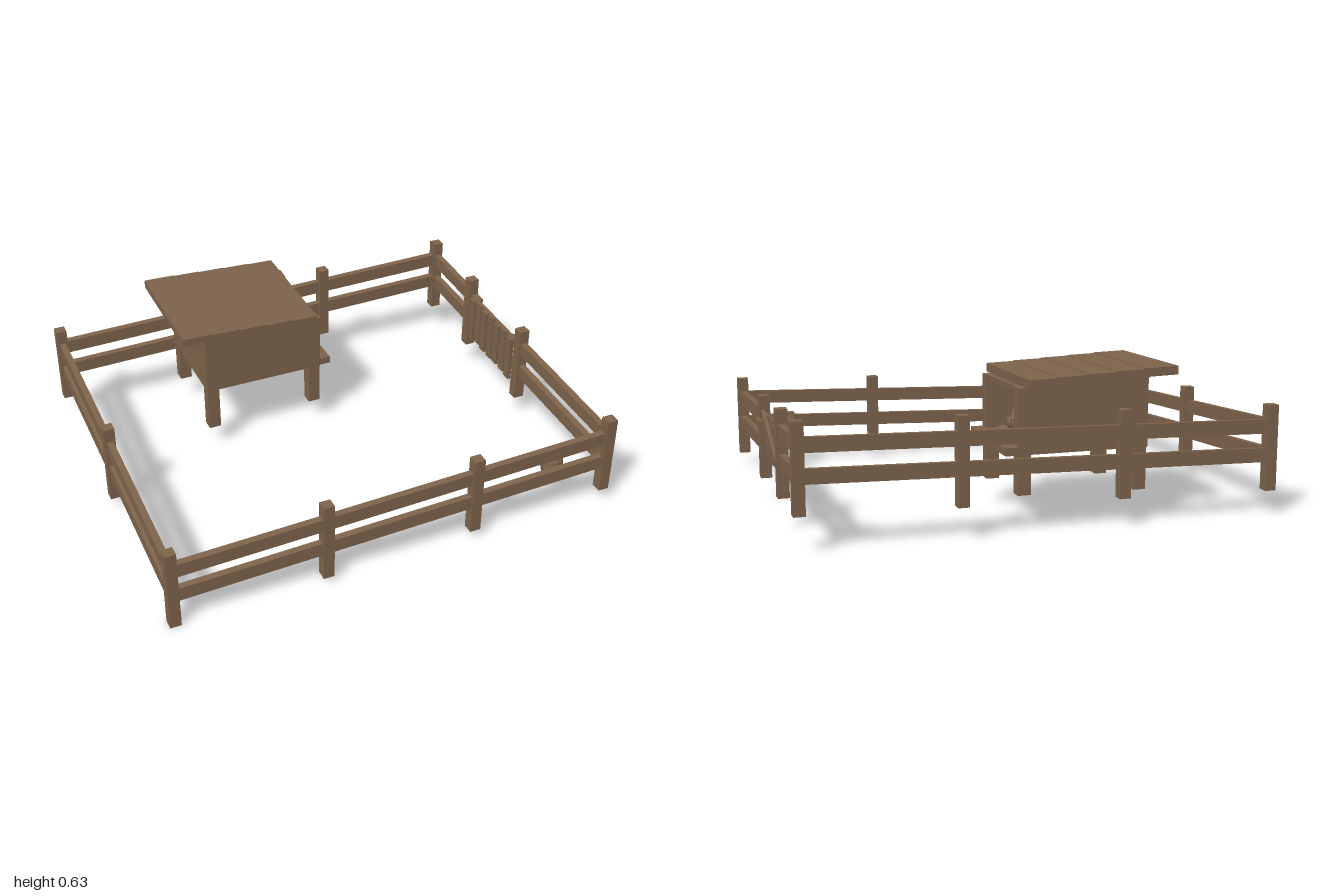
import * as THREE from 'three';

const wood = new THREE.MeshStandardMaterial({ color: 0x7d634b });
wood.name = 'brown wood';
wood.flatShading = true;

// Sloping ground: height under a point of the yard
function ground(x, z) {
  const u = (x + 0.975) / 1.94, v = (0.778 - z) / 1.562;
  return 0.06 * u + v * (0.1 - 0.015 * u);
}

function add(parent, name, geometry, x = 0, y = 0, z = 0) {
  const mesh = new THREE.Mesh(geometry, wood);
  mesh.name = name;
  mesh.position.set(x, y, z);
  parent.add(mesh);
  return mesh;
}

// Box with upright sides whose bottom and top follow height rules
function block(parent, name, [x0, x1], [z0, z1], bottom, top) {
  const geo = new THREE.BoxGeometry(x1 - x0, 1, z1 - z0);
  geo.translate((x0 + x1) / 2, 0, (z0 + z1) / 2);
  const p = geo.attributes.position;
  for (let i = 0; i < p.count; i++) {
    p.setY(i, (p.getY(i) > 0 ? top : bottom)(p.getX(i), p.getZ(i)));
  }
  geo.computeVertexNormals();
  return add(parent, name, geo);
}

const above = (h) => (x, z) => ground(x, z) + h;
const around = (c, w) => [c - w / 2, c + w / 2];

function buildFence() {
  const fence = new THREE.Group();
  fence.name = 'fence';
  const L = -0.975, R = 0.964, F = 0.778, B = -0.784;
  const posts = [[L, -0.02], [R, 0.062], [R, -0.412]];
  for (const x of [L, -0.33, 0.335, R]) posts.push([x, F], [x, B]);
  for (const [x, z] of posts) {
    const base = ground(x, z);
    block(fence, 'fencePost', around(x, 0.047), around(z, 0.047), () => base, () => base + 0.357);
  }
  // Two rails on every side, open at the gate
  for (const h of [0.118, 0.237]) {
    const lo = above(h), hi = above(h + 0.059);
    for (const z of [F, B]) block(fence, 'fenceRail', [L, R], around(z, 0.028), lo, hi);
    block(fence, 'fenceRail', around(L, 0.028), [B, F], lo, hi);
    block(fence, 'fenceRail', around(R, 0.028), [0.062, F], lo, hi);
    block(fence, 'fenceRail', around(R, 0.028), [B, -0.412], lo, hi);
  }
  return fence;
}

function buildGate() {
  const gate = new THREE.Group();
  gate.name = 'gate';
  for (let i = 0; i < 7; i++) {
    const z = -0.002 - i * 0.058;
    block(gate, 'gatePicket', [0.935 + (i % 2) * 0.003, 0.952], around(z, 0.042),
      above(0.066 + (i % 3) * 0.004), above(0.28 + (i % 2) * 0.008));
  }
  for (const h of [0.118, 0.237]) {
    block(gate, 'gateRail', [0.951, 0.966], [-0.39, 0.03], above(h), above(h + 0.045));
  }
  // Diagonal brace, latch and hinge
  const braceY = (z) => 0.365 + 0.4 * (z - 0.02);
  block(gate, 'gateBrace', [0.966, 0.98], [-0.37, 0.022], (x, z) => braceY(z), (x, z) => braceY(z) + 0.032);
  block(gate, 'gateLatch', [0.978, 0.998], [-0.02, 0.075], () => 0.34, () => 0.36);
  block(gate, 'gateHinge', [0.962, 0.985], [-0.4, -0.33], () => 0.388, () => 0.404);
  return gate;
}

function buildCoop() {
  const coop = new THREE.Group();
  coop.name = 'coop';
  const eaves = (x, z) => 0.592 - 0.05 * (x + 0.565) - 0.02 * (z + 0.49);
  const floor = () => 0.3;
  // Corner legs
  for (const x of [-0.428, 0.062]) for (const z of [-0.284, -0.69]) {
    const base = ground(x, z) + 0.018;
    block(coop, 'coopLeg', around(x, 0.054), around(z, 0.054), () => base, eaves);
  }
  // Floor running out to a porch, and three walls
  block(coop, 'coopFloor', [-0.455, 0.143], [-0.724, -0.26], floor, () => 0.332);
  block(coop, 'frontWall', [-0.457, 0.09], [-0.272, -0.254], floor, eaves);
  block(coop, 'backWall', [-0.457, 0.09], [-0.724, -0.706], floor, eaves);
  block(coop, 'sideWall', [-0.457, -0.439], [-0.722, -0.256], floor, eaves);
  block(coop, 'doorLintel', [0.06, 0.08], [-0.7, -0.27], (x, z) => eaves(x, z) - 0.02, eaves);
  // Overlapping roof planks
  const edges = [-0.565, -0.425, -0.305, -0.185, -0.06, 0.06];
  for (let i = 0; i < 5; i++) {
    const mid = (edges[i] + edges[i + 1]) / 2;
    const under = (x, z) => eaves(mid, z) - 0.028 * (x - mid);
    block(coop, 'roofPlank', [edges[i] - (i ? 0.02 : 0), edges[i + 1]], [-0.767, -0.216],
      under, (x, z) => under(x, z) + 0.035);
  }
  return coop;
}

function buildHen() {
  const hen = new THREE.Group();
  hen.name = 'hen';
  const ball = (name, r, sx, sy, sz, x, y, z) =>
    add(hen, name, new THREE.SphereGeometry(r, 8, 6).scale(sx, sy, sz), x, y, z);
  ball('henBody', 0.05, 0.75, 0.78, 1.05, 0, 0.055, 0);
  ball('henHead', 0.018, 0.9, 1.1, 1, 0, 0.118, -0.05);
  add(hen, 'henNeck', new THREE.CylinderGeometry(0.015, 0.03, 0.06, 7), 0, 0.09, -0.043).rotation.x = -0.25;
  add(hen, 'henBeak', new THREE.ConeGeometry(0.007, 0.02, 4), 0, 0.116, -0.073).rotation.x = -Math.PI / 2;
  add(hen, 'henTail', new THREE.ConeGeometry(0.024, 0.06, 5), 0, 0.08, 0.044).rotation.x = 0.7;
  for (let i = 0; i < 3; i++) {
    add(hen, 'henComb', new THREE.BoxGeometry(0.006, 0.016, 0.009), 0, 0.14 - i * 0.002, -0.058 + i * 0.009);
  }
  for (const s of [-1, 1]) {
    ball('henWing', 0.03, 0.3, 0.75, 1.1, s * 0.036, 0.058, 0.006);
    add(hen, 'henLeg', new THREE.CylinderGeometry(0.004, 0.004, 0.03, 5), s * 0.015, 0.013, 0);
    add(hen, 'henFoot', new THREE.BoxGeometry(0.016, 0.005, 0.028), s * 0.015, 0.002, -0.006);
  }
  hen.position.set(0.02, 0.333, -0.51);
  return hen;
}

function buildJar() {
  const jar = new THREE.Group();
  jar.name = 'jar';
  const profile = [[0, 0], [0.022, 0.006], [0.04, 0.032], [0.05, 0.075], [0.045, 0.112], [0.03, 0.14], [0, 0.148]];
  add(jar, 'jarBody', new THREE.LatheGeometry(profile.map(([r, y]) => new THREE.Vector2(r, y)), 10));
  add(jar, 'jarCap', new THREE.BoxGeometry(0.042, 0.012, 0.042), 0, 0.145, 0);
  jar.position.set(0.758, 0.106, 0.692);
  return jar;
}

export function createModel() {
  const model = new THREE.Group();
  model.name = 'henYard';
  model.add(buildFence(), buildGate(), buildCoop(), buildHen(), buildJar());
  return model;
}
